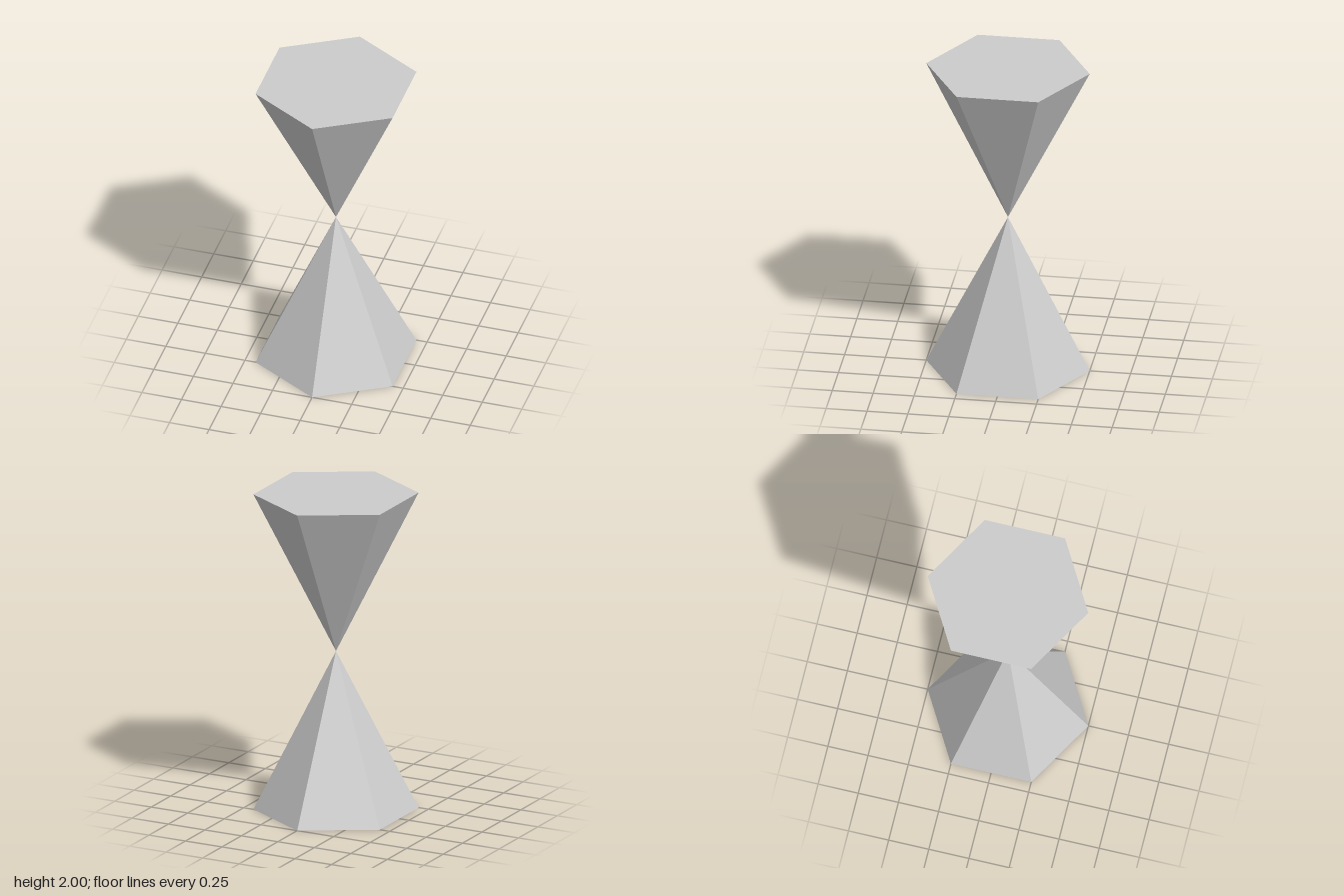
import * as THREE from 'three';

const RADIUS = 0.5;
const HEIGHT = 1;
const SIDES = 6;

export function createModel() {
  const group = new THREE.Group();
  group.name = 'doublePyramid';
  const material = new THREE.MeshStandardMaterial({ color: 0xcccccc, flatShading: true });

  // A closed six-sided pyramid with one corner facing the front
  const geometry = new THREE.ConeGeometry(RADIUS, HEIGHT, SIDES);

  // Lower pyramid stands on its base
  const lower = new THREE.Mesh(geometry, material);
  lower.name = 'lowerPyramid';
  lower.position.y = HEIGHT / 2;

  // Upper pyramid is turned over so the tips meet
  const upper = new THREE.Mesh(geometry, material);
  upper.name = 'upperPyramid';
  upper.rotation.x = Math.PI;
  upper.position.y = HEIGHT * 1.5;

  group.add(lower, upper);
  return group;
}
